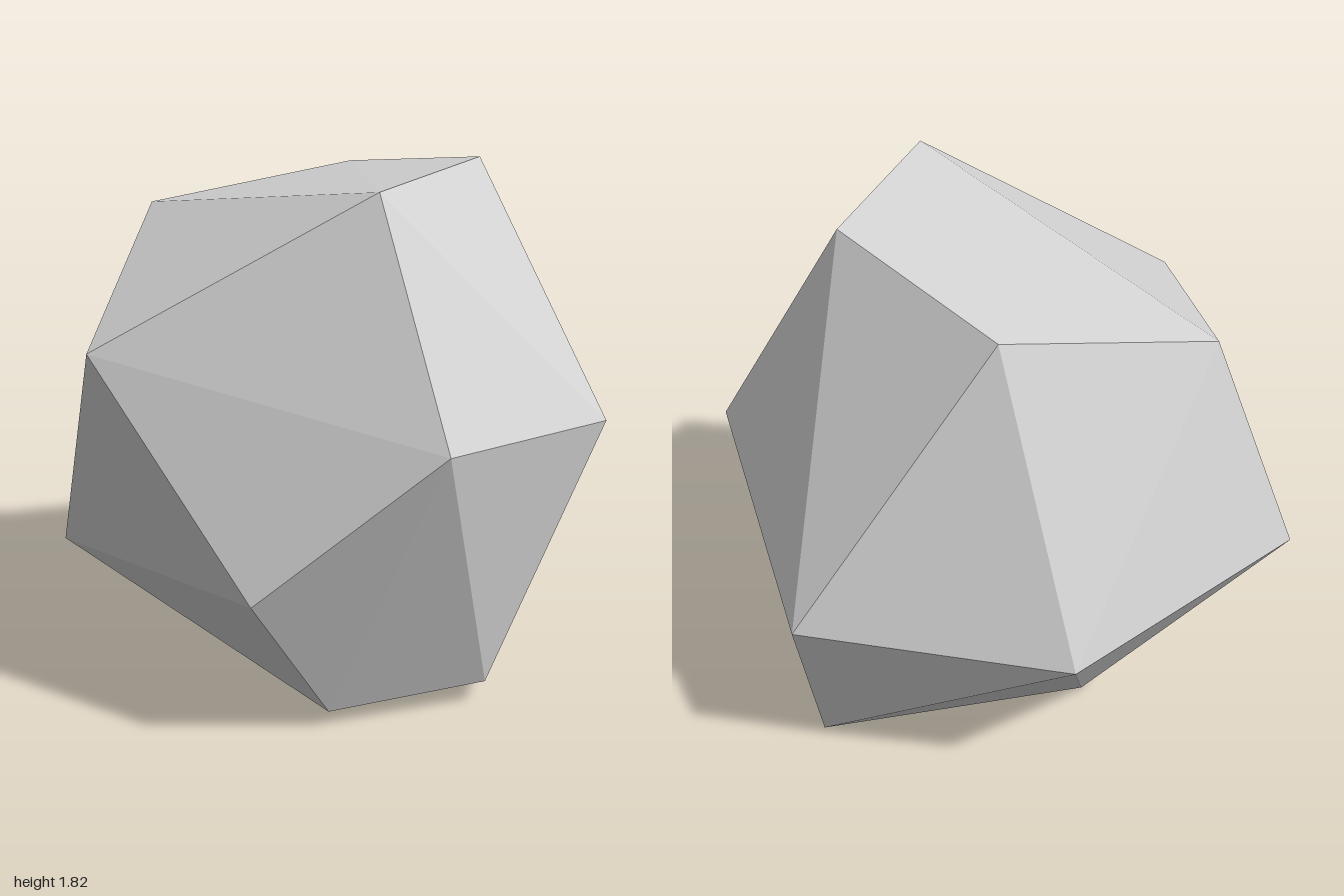
import * as THREE from 'three';
import { ConvexGeometry } from 'three/addons/geometries/ConvexGeometry.js';

// Corners of the boulder, ring by ring from the top down: [x, y, z]
const crown = [
  [-0.255, 1.57, -0.72], [0.40, 1.70, -0.39], [0.38, 1.815, 0.35],
  [-0.285, 1.815, 0.66], [-0.965, 1.295, 0.065],
];
const girdle = [
  [-0.36, 0.88, -1.0], [0.425, 0.64, -0.76], [0.963, 0.685, 0.0], [0.55, 0.985, 0.825],
  [-0.275, 1.075, 1.0], [-0.72, 0.565, 0.595], [-0.788, 0.455, -0.49],
];
const base = [
  [-0.36, 0.06, 0.51], [0.165, 0.09, 0.695], [0.75, 0.035, 0.14], [-0.08, 0, -0.355],
];

export function createModel() {
  const group = new THREE.Group();
  group.name = 'rock';

  const stone = new THREE.MeshStandardMaterial({ color: 0xd5d5d5, flatShading: true });
  stone.name = 'pale stone';

  // Faceted boulder stretched over its corners
  const corners = [...crown, ...girdle, ...base].map((p) => new THREE.Vector3(...p));
  const boulder = new THREE.Mesh(new ConvexGeometry(corners), stone);
  boulder.name = 'boulder';
  group.add(boulder);

  return group;
}
